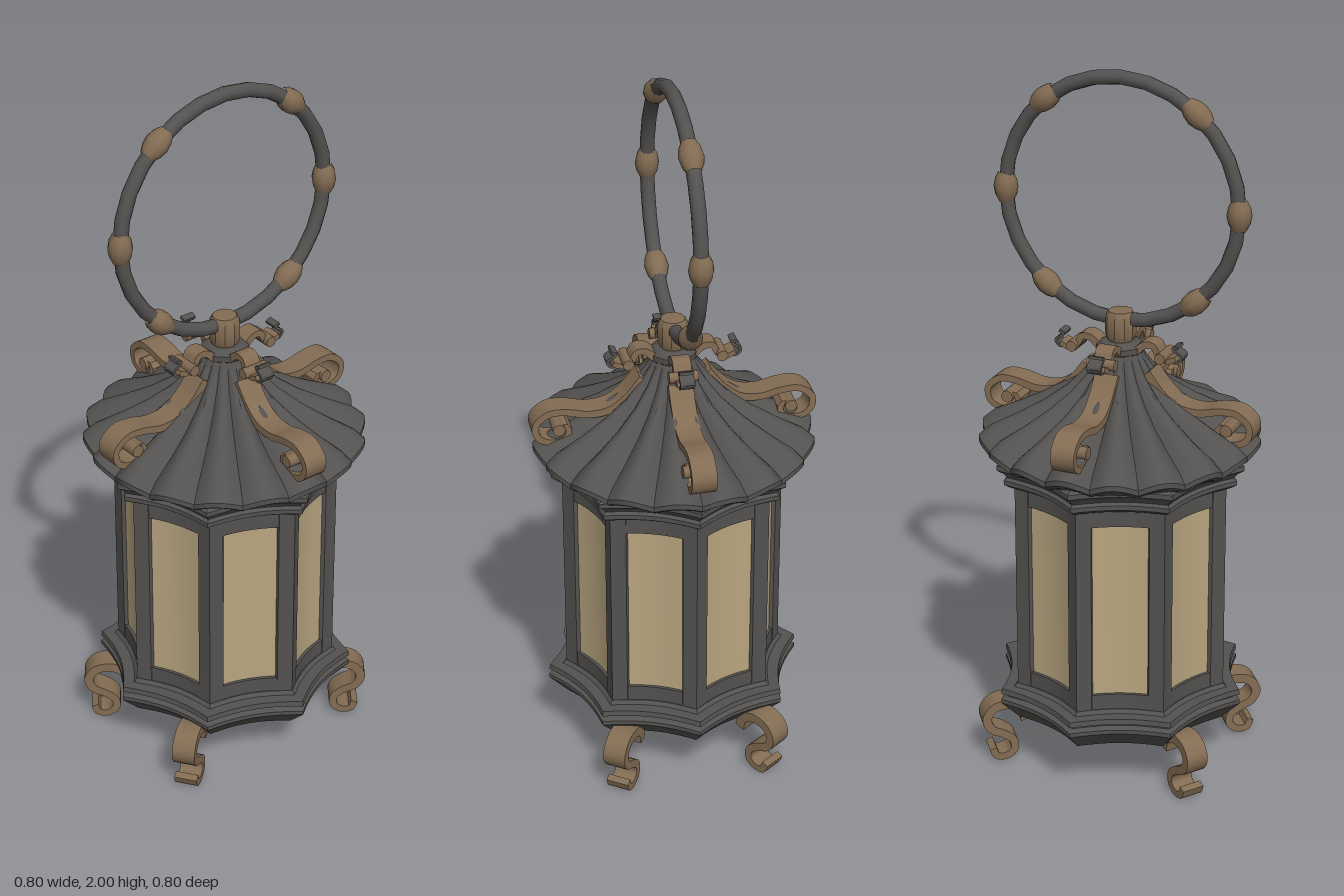
import * as THREE from 'three';
import { toCreasedNormals, mergeGeometries } from 'three/addons/utils/BufferGeometryUtils.js';

const TAU = Math.PI * 2;

// Closed loft: profile of [radius, y, wave] run bottom to top, outline gives a point per ring step.
function loft(profile, n, outline, crease = 0.5) {
  const pos = [], idx = [];
  for (const [r, y, wave = 0] of profile) {
    for (let i = 0; i < n; i++) pos.push(...outline(r, y, i / n, wave));
  }
  for (let j = 0; j < profile.length - 1; j++) {
    for (let i = 0; i < n; i++) {
      const a = j * n + i, b = j * n + (i + 1) % n;
      idx.push(a, a + n, b, b, a + n, b + n);
    }
  }
  const g = new THREE.BufferGeometry();
  g.setAttribute('position', new THREE.Float32BufferAttribute(pos, 3));
  g.setIndex(idx);
  return toCreasedNormals(g, crease);
}

// Octagon with gently hollow sides; s runs 0..8 around the corners.
function octPoint(r, s) {
  const k = Math.floor(s), t = s - k;
  const a = k * TAU / 8, b = a + TAU / 8;
  const f = r * (1 - 0.26 * t * (1 - t));
  return [f * (Math.cos(a) * (1 - t) + Math.cos(b) * t), f * (Math.sin(a) * (1 - t) + Math.sin(b) * t)];
}
const octagon = (r, y, u) => {
  const [x, z] = octPoint(r, u * 8);
  return [x, y, z];
};

// Scalloped outline with 18 rounded lobes between sharp valleys.
const scallop = (r, y, u, wave) => {
  const lobe = Math.abs(Math.sin(u * 9 * TAU / 2 * 2));
  const rr = r * (1 + 0.055 * wave * lobe), a = u * TAU;
  return [rr * Math.cos(a), y + 0.024 * wave * lobe, rr * Math.sin(a)];
};

// Curved upright block following one side of the octagon.
function sideBlock(k, t0, t1, y0, y1, rOut, rIn) {
  const pts = [], n = 6;
  for (let i = 0; i <= n; i++) pts.push([rOut, t0 + (t1 - t0) * i / n]);
  for (let i = n; i >= 0; i--) pts.push([rIn, t0 + (t1 - t0) * i / n]);
  const shape = new THREE.Shape(pts.map(([r, t]) => {
    const [x, z] = octPoint(r, k + Math.min(t, 0.9999));
    return new THREE.Vector2(x, -z);
  }));
  const g = new THREE.ExtrudeGeometry(shape, { depth: y1 - y0, bevelEnabled: false });
  return g.rotateX(-Math.PI / 2).translate(0, y0, 0);
}

// Flat ribbon of given width following a path of [radius, y], thinning to the end.
function ribbon(points, width, thick, endThick = thick) {
  const curve = new THREE.CatmullRomCurve3(points.map(([x, y]) => new THREE.Vector3(x, y, 0)));
  const n = points.length * 4, a = [], b = [];
  for (let i = 0; i <= n; i++) {
    const p = curve.getPointAt(i / n), t = curve.getTangentAt(i / n);
    const h = (thick + (endThick - thick) * i / n) / 2;
    a.push(new THREE.Vector2(p.x - t.y * h, p.y + t.x * h));
    b.unshift(new THREE.Vector2(p.x + t.y * h, p.y - t.x * h));
  }
  const g = new THREE.ExtrudeGeometry(new THREE.Shape([...a, ...b]), { depth: width, bevelEnabled: false });
  return toCreasedNormals(g.translate(0, 0, -width / 2), 0.5);
}

export function createModel() {
  const model = new THREE.Group();
  const iron = new THREE.MeshStandardMaterial({ name: 'dark iron', color: 0x545250 });
  const bronze = new THREE.MeshStandardMaterial({ name: 'bronze', color: 0x836c53 });
  const paper = new THREE.MeshStandardMaterial({ name: 'warm paper', color: 0xb9a680 });
  const add = (parent, name, geo, mat) => {
    const m = new THREE.Mesh(geo, mat);
    m.name = name;
    parent.add(m);
    return m;
  };

  // Base tray and upper cornice
  add(model, 'base', loft([[0, 0.145], [0.31, 0.145], [0.355, 0.19], [0.365, 0.2], [0.365, 0.212], [0.345, 0.218],
    [0.345, 0.225], [0.365, 0.23], [0.362, 0.245], [0.325, 0.245], [0.315, 0.255], [0, 0.255]], 64, octagon), iron);
  add(model, 'cornice', loft([[0, 0.86], [0.325, 0.86], [0.345, 0.872], [0.345, 0.885], [0.335, 0.892], [0.345, 0.905],
    [0.365, 0.918], [0.365, 0.932], [0.33, 0.95], [0, 0.95]], 64, octagon), iron);

  // Framed panels on all eight sides
  const frame = [], panels = [];
  for (let k = 0; k < 8; k++) {
    frame.push(
      sideBlock(k, 0, 0.16, 0.25, 0.865, 0.314, 0.28),
      sideBlock(k, 0.84, 1, 0.25, 0.865, 0.314, 0.28),
      sideBlock(k, 0.16, 0.84, 0.25, 0.3, 0.312, 0.28),
      sideBlock(k, 0.16, 0.84, 0.81, 0.865, 0.312, 0.28));
    panels.push(sideBlock(k, 0.14, 0.86, 0.29, 0.82, 0.302, 0.294));
  }
  add(model, 'windowFrame', toCreasedNormals(mergeGeometries(frame), 0.4), iron);
  add(model, 'windowPanels', toCreasedNormals(mergeGeometries(panels), 0.4), paper);

  // Fluted roof with scalloped eave
  add(model, 'roof', loft([[0, 0.92], [0.32, 0.92, 0.3], [0.355, 0.932, 1], [0.372, 0.945, 1], [0.372, 0.96, 1],
    [0.34, 0.985, 1.1], [0.27, 1.018, 1.1], [0.2, 1.058, 1], [0.14, 1.105, 0.8], [0.095, 1.155, 0.6],
    [0.068, 1.2, 0.3], [0.055, 1.24], [0, 1.24]], 144, scallop, 0.45), iron);

  // Crown collar and finial
  const collar = [[0, 1.205], [0.05, 1.205], [0.066, 1.222], [0.066, 1.238], [0.045, 1.25], [0, 1.25]];
  add(model, 'crownCollar', toCreasedNormals(
    new THREE.LatheGeometry(collar.map(p => new THREE.Vector2(...p)), 12), 0.5), iron);
  const finial = [[0, 1.24], [0.034, 1.245], [0.043, 1.265], [0.043, 1.315], [0.034, 1.333], [0, 1.336]];
  add(model, 'finial', toCreasedNormals(
    new THREE.LatheGeometry(finial.map(p => new THREE.Vector2(...p)), 10), 0.5), bronze);

  // Carrying ring with barrel collars
  const ring = new THREE.Group();
  ring.name = 'carryingRing';
  ring.position.y = 1.643;
  model.add(ring);
  const R = 0.337;
  add(ring, 'ringBar', new THREE.TorusGeometry(R, 0.02, 10, 28), iron);
  const bead = [[0.02, -0.042], [0.03, -0.022], [0.034, 0], [0.03, 0.022], [0.02, 0.042]];
  for (const deg of [0, 50, 130, 180, 230, 310]) {
    const a = deg * Math.PI / 180;
    const m = add(ring, 'ringBead', new THREE.LatheGeometry(bead.map(p => new THREE.Vector2(...p)), 10), bronze);
    m.position.set(R * Math.cos(a), R * Math.sin(a), 0);
    m.rotation.z = a;
  }

  // Roof arms, crown scrolls: one set on each axis
  const armGeo = ribbon([[0.09, 1.175], [0.13, 1.125], [0.18, 1.088], [0.24, 1.08], [0.3, 1.093], [0.35, 1.093],
    [0.388, 1.06], [0.38, 1.02], [0.34, 1.004], [0.302, 1.018], [0.298, 1.045], [0.325, 1.052]], 0.068, 0.024, 0.016);
  const scrollGeo = ribbon([[0.05, 1.225], [0.08, 1.25], [0.105, 1.25], [0.12, 1.225], [0.145, 1.213],
    [0.17, 1.222]], 0.05, 0.022, 0.014);
  const tendrilGeo = ribbon([[0.15, 1.215], [0.175, 1.212], [0.185, 1.228], [0.17, 1.24], [0.16, 1.25],
    [0.175, 1.255]], 0.04, 0.008);
  const pin = (r, len) => new THREE.CylinderGeometry(r, r, len, 8).rotateX(Math.PI / 2);
  for (let i = 0; i < 4; i++) {
    const arm = new THREE.Group();
    arm.name = 'roofArm';
    arm.rotation.y = i * Math.PI / 2;
    model.add(arm);
    add(arm, 'armRibbon', armGeo, bronze);
    add(arm, 'armCurlPin', pin(0.018, 0.088), bronze).position.set(0.325, 1.045, 0);
    add(arm, 'crownScroll', scrollGeo, bronze);
    add(arm, 'crownScrollPin', pin(0.016, 0.08), bronze).position.set(0.13, 1.222, 0);
    add(arm, 'crownTendril', tendrilGeo, iron);
  }

  // Four scrolled feet
  const footGeo = ribbon([[0.285, 0.125], [0.295, 0.16], [0.335, 0.178], [0.378, 0.168], [0.398, 0.135], [0.385, 0.103],
    [0.35, 0.085], [0.322, 0.062], [0.32, 0.032], [0.342, 0.014], [0.372, 0.017], [0.382, 0.04]], 0.066, 0.03, 0.02);
  for (const deg of [36, 144, 216, 324]) {
    const foot = add(model, 'foot', footGeo, bronze);
    foot.rotation.y = deg * Math.PI / 180;
  }

  return model;
}
